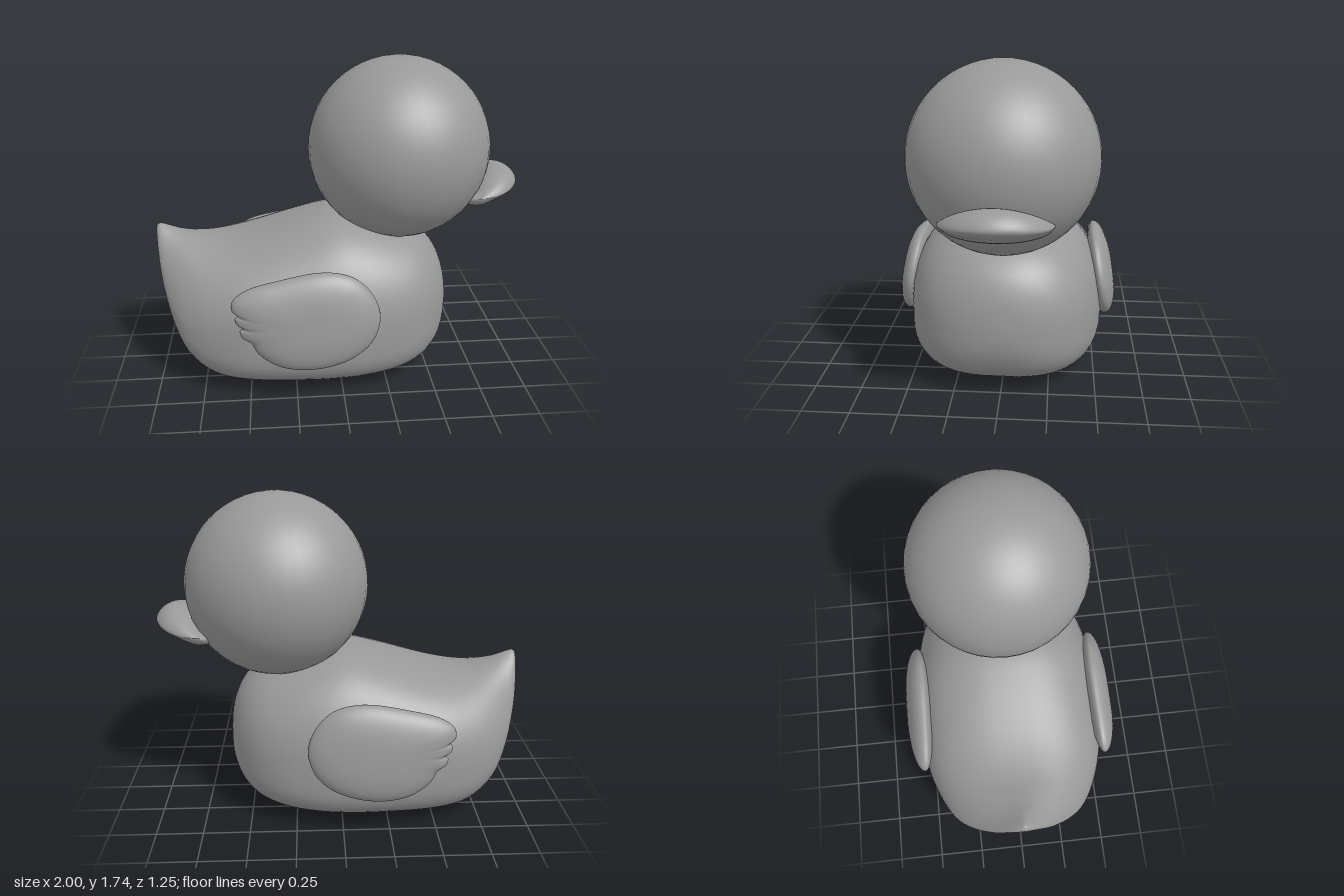
import * as THREE from 'three';
import { mergeVertices } from 'three/addons/utils/BufferGeometryUtils.js';

// Skin a series of closed rings; the first and last ring shrink to a point.
function loft(rings, flip = false) {
  const n = rings[0].length, pos = rings.flat().flatMap(p => [p.x, p.y, p.z]), idx = [];
  for (let i = 0; i < rings.length - 1; i++) {
    for (let j = 0; j < n; j++) {
      const k = (j + 1) % n;
      const a = i * n + j, b = a + n, c = (i + 1) * n + k, d = i * n + k;
      if (flip) idx.push(a, c, b, a, d, c);
      else idx.push(a, b, c, a, c, d);
    }
  }
  let geo = new THREE.BufferGeometry();
  geo.setAttribute('position', new THREE.Float32BufferAttribute(pos, 3));
  geo.setIndex(idx);
  geo = mergeVertices(geo, 1e-5);
  geo.computeVertexNormals();
  return geo;
}

// Smooth closed outline through a few [x, y] points.
function outline(points, count) {
  const curve = new THREE.CatmullRomCurve3(points.map(([x, y]) => new THREE.Vector3(x, y, 0)), true, 'centripetal');
  return curve.getPoints(count).slice(0, count);
}

const spow = (v, e) => Math.sign(v) * Math.pow(Math.abs(v), e);

// Body: rounded cross-sections from tail tip to breast.
function bodyGeometry() {
  // x, top, bottom, half width, widest height, roundness of the upper half
  const stations = [
    [-1.0, 0.81, 0.78, 0.0, 0.795, 1.5],
    [-0.99, 0.835, 0.69, 0.07, 0.74, 1.4],
    [-0.965, 0.84, 0.53, 0.17, 0.6, 1.35],
    [-0.91, 0.82, 0.32, 0.285, 0.46, 1.45],
    [-0.83, 0.785, 0.145, 0.38, 0.38, 1.75],
    [-0.69, 0.752, 0.035, 0.46, 0.34, 2.25],
    [-0.5, 0.77, 0.008, 0.518, 0.32, 2.55],
    [-0.22, 0.855, 0.002, 0.537, 0.3, 2.5],
    [-0.03, 0.9, 0.004, 0.54, 0.3, 2.45],
    [0.13, 0.88, 0.01, 0.528, 0.31, 2.45],
    [0.3, 0.83, 0.026, 0.487, 0.33, 2.4],
    [0.44, 0.775, 0.065, 0.415, 0.36, 2.3],
    [0.54, 0.69, 0.14, 0.31, 0.38, 2.15],
    [0.595, 0.58, 0.24, 0.19, 0.39, 2.0],
    [0.617, 0.46, 0.33, 0.075, 0.39, 2.0],
    [0.62, 0.39, 0.39, 0.0, 0.39, 2.0],
  ];
  const spline = (f) => new THREE.CatmullRomCurve3(stations.map(f), false, 'catmullrom', 0.5);
  const ends = spline(s => new THREE.Vector3(s[0], s[1], s[2]));
  const shape = spline(s => new THREE.Vector3(s[3], s[4], s[5]));
  const rings = [], steps = 60, n = 56;
  for (let i = 0; i <= steps; i++) {
    const e = ends.getPoint(i / steps), s = shape.getPoint(i / steps);
    rings.push(Array.from({ length: n }, (_, j) => {
      const a = (j / n) * Math.PI * 2, up = Math.sin(a) >= 0;
      const power = 2 / (up ? s.z : 3);
      const height = up ? e.y - s.y : s.y - e.z;
      return new THREE.Vector3(e.x, s.y + height * spow(Math.sin(a), power),
        Math.max(s.x, 0) * spow(Math.cos(a), power));
    }));
  }
  return loft(rings);
}

// Wing: leaning pillow with scallops on its trailing edge that fade inward.
function wingGeometry(side) {
  const leaf = [
    [-0.57, 0.605], [-0.5, 0.655], [-0.35, 0.695], [-0.1, 0.733], [0.05, 0.7], [0.145, 0.61],
    [0.185, 0.49], [0.15, 0.37], [0.06, 0.285], [-0.07, 0.235], [-0.22, 0.222], [-0.35, 0.25],
    [-0.45, 0.32],
  ];
  const scallops = [
    [-0.485, 0.38], [-0.53, 0.41], [-0.54, 0.44], [-0.523, 0.458],
    [-0.555, 0.48], [-0.562, 0.51], [-0.547, 0.525], [-0.578, 0.555],
  ];
  const plain = [
    [-0.492, 0.38], [-0.51, 0.41], [-0.523, 0.44], [-0.53, 0.458],
    [-0.54, 0.48], [-0.552, 0.51], [-0.558, 0.525], [-0.57, 0.555],
  ];
  const edge = outline([...leaf, ...scallops], 105), smooth = outline([...leaf, ...plain], 105);
  const rings = [], steps = 24;
  for (let i = 0; i <= steps; i++) {
    const a = -Math.PI / 2 + (i / steps) * Math.PI;
    const scale = i % steps === 0 ? 0 : Math.pow(Math.cos(a), 0.75);
    const bulge = Math.sin(a) * (a > 0 ? 0.083 : 0.06);
    rings.push(edge.map((p, j) => {
      const q = smooth[j].clone().lerp(p, Math.pow(scale, 6));
      const x = -0.18 + (q.x + 0.18) * scale, y = 0.48 + (q.y - 0.48) * scale;
      return new THREE.Vector3(x, y, side * (0.53 - (y - 0.48) * 0.15 + bulge));
    }));
  }
  return loft(rings, side < 0);
}

// Beak: upturned side profile shrinking toward both corners of the mouth.
function beakGeometry() {
  const profile = outline([
    [0.64, 1.0], [0.73, 1.055], [0.82, 1.12], [0.9, 1.14], [0.96, 1.12], [1.0, 1.07],
    [0.98, 1.035], [0.92, 1.0], [0.85, 0.965], [0.77, 0.938], [0.7, 0.94], [0.65, 0.96],
  ], 48);
  const rings = [], steps = 32;
  for (let i = 0; i <= steps; i++) {
    const a = -Math.PI / 2 + (i / steps) * Math.PI;
    const s = i % steps === 0 ? 0 : Math.cos(a);
    rings.push(profile.map(p => new THREE.Vector3(
      0.745 + (p.x - 0.745) * s,
      1.025 + (p.y - 1.025) * Math.pow(s, p.y > 1.025 ? 1.6 : 0.95),
      0.275 * Math.sin(a))));
  }
  return loft(rings);
}

export function createModel() {
  const grey = new THREE.MeshStandardMaterial({ color: 0x999999 });
  grey.name = 'grey';
  const model = new THREE.Group();
  model.name = 'duck';
  const add = (name, geometry) => {
    const mesh = new THREE.Mesh(geometry, grey);
    mesh.name = name;
    model.add(mesh);
    return mesh;
  };

  add('body', bodyGeometry());
  add('head', new THREE.SphereGeometry(0.495, 40, 28)).position.set(0.342, 1.246, -0.005);
  add('beak', beakGeometry());
  add('nearWing', wingGeometry(1));
  add('farWing', wingGeometry(-1));
  return model;
}
